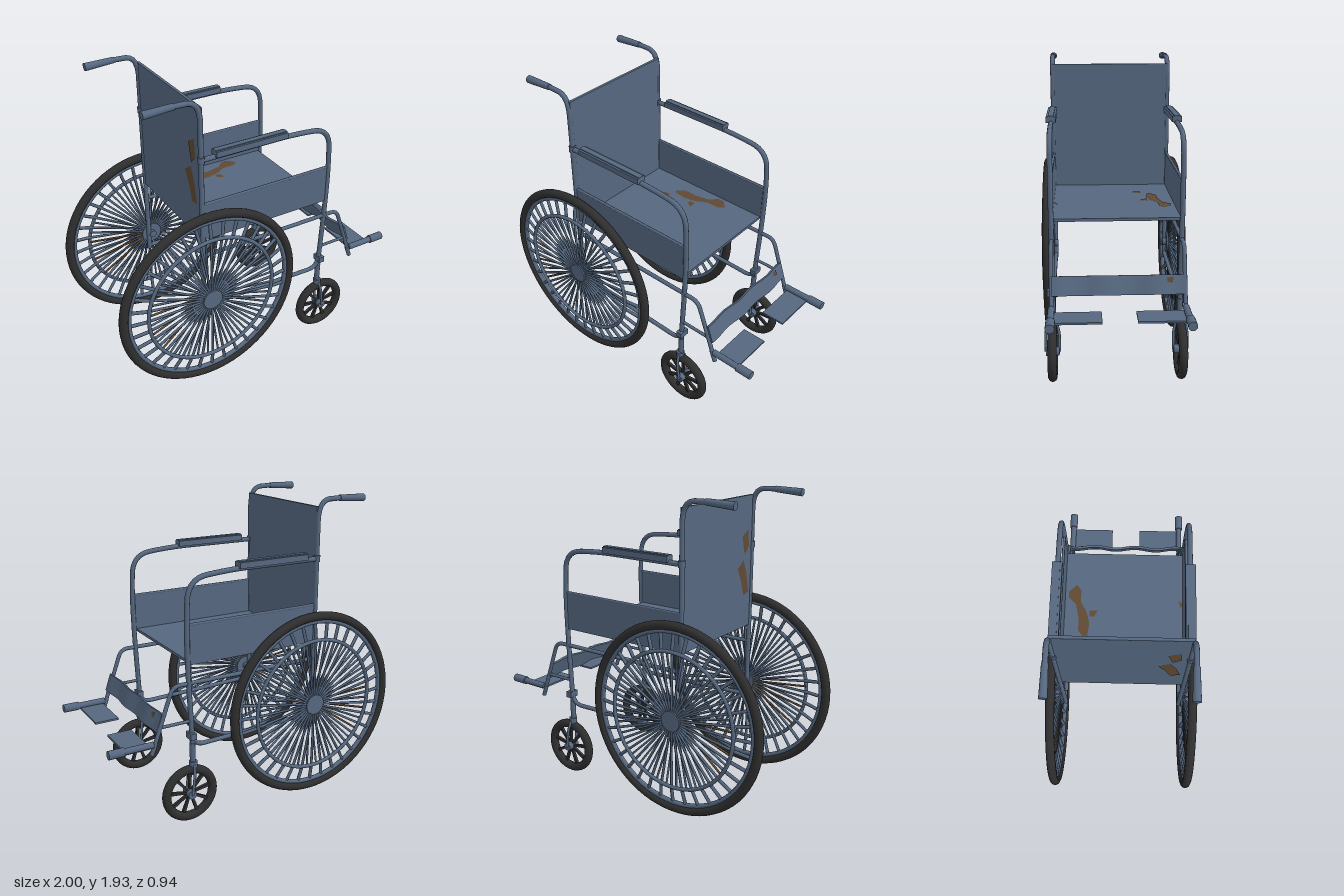
import * as THREE from 'three';
import { mergeGeometries } from 'three/addons/utils/BufferGeometryUtils.js';

const material = (name, color, side = THREE.FrontSide) => {
  const m = new THREE.MeshStandardMaterial({ color, side });
  m.name = name;
  return m;
};

export function createModel() {
  const blue = material('paintedSteelBlue', 0x55677f);
  const rubber = material('darkRubber', 0x2e2e2e);
  const rust = material('rustBrown', 0x5f4a33, THREE.DoubleSide);
  const model = new THREE.Group();
  model.name = 'wheelchair';

  const V = (x, y, z = 0) => new THREE.Vector3(x, y, z);
  const add = (parent, name, geo, mat, x = 0, y = 0, z = 0) => {
    const m = new THREE.Mesh(geo, mat);
    m.name = name;
    m.position.set(x, y, z);
    parent.add(m);
    return m;
  };
  // Capped straight bar between two points
  const rod = (a, b, r0, r1 = r0, sides = 10) => {
    const d = b.clone().sub(a);
    const g = new THREE.CylinderGeometry(r1, r0, d.length(), sides);
    g.applyQuaternion(new THREE.Quaternion().setFromUnitVectors(V(0, 1), d.normalize()));
    return g.translate((a.x + b.x) / 2, (a.y + b.y) / 2, (a.z + b.z) / 2);
  };
  // Bent tube: straight runs with rounded corners at the inner points
  const pipe = (pts, r, bend = 0.08) => {
    const path = new THREE.CurvePath();
    let from = pts[0];
    for (let i = 1; i < pts.length - 1; i++) {
      const toward = (q) => {
        const d = q.clone().sub(pts[i]);
        return pts[i].clone().addScaledVector(d.clone().normalize(), Math.min(bend, d.length() * 0.45));
      };
      const a = toward(pts[i - 1]), b = toward(pts[i + 1]);
      path.add(new THREE.LineCurve3(from, a));
      path.add(new THREE.QuadraticBezierCurve3(a, pts[i], b));
      from = b;
    }
    path.add(new THREE.LineCurve3(from, pts[pts.length - 1]));
    return new THREE.TubeGeometry(path, 64, r, 10);
  };
  const patch = (pts) => new THREE.ShapeGeometry(new THREE.Shape(pts.map(p => new THREE.Vector2(...p))));
  const polar = (r, a, z) => V(r * Math.cos(a), r * Math.sin(a), z);

  // Large drive wheel, built around its axle; s is the outward direction
  const driveWheel = (s) => {
    const w = new THREE.Group();
    w.name = 'driveWheel';
    add(w, 'tire', new THREE.TorusGeometry(0.582, 0.028, 14, 72), rubber);
    add(w, 'rim', new THREE.TorusGeometry(0.548, 0.015, 10, 72), blue);
    const handZ = s * 0.026;
    add(w, 'handRim', new THREE.TorusGeometry(0.432, 0.012, 10, 72), blue, 0, 0, handZ);
    add(w, 'hub', rod(V(0, 0, -s * 0.035), V(0, 0, s * 0.034), 0.07, 0.066, 24), blue);
    add(w, 'axle', rod(V(0, 0, -s * 0.06), V(0, 0, 0), 0.025), blue);
    const clean = [], rusty = [];
    for (let i = 0; i < 36; i++) {
      const a = i * Math.PI / 18, b = a + Math.PI / 36;
      clean.push(rod(polar(0.05, a, s * 0.02), polar(0.44, a, s * 0.016), 0.007, 0.009, 6));
      clean.push(rod(polar(0.43, a, s * 0.018), polar(0.545, a, 0), 0.011, 0.011, 6));
      const list = i > 15 && i < 23 && i % 2 ? rusty : clean;
      list.push(rod(polar(0.05, b, -s * 0.02), polar(0.435, b, s * 0.018), 0.007, 0.007, 6));
    }
    add(w, 'spokes', mergeGeometries(clean), blue);
    add(w, 'rustySpokes', mergeGeometries(rusty), rust);
    return w;
  };

  // Small front caster with its fork
  const caster = () => {
    const c = new THREE.Group();
    c.name = 'caster';
    const tire = new THREE.TorusGeometry(0.157, 0.028, 14, 48);
    add(c, 'casterTire', tire, rubber);
    const spokes = [];
    for (let i = 0; i < 9; i++) {
      const g = new THREE.BoxGeometry(0.12, 0.022, 0.018).translate(0.085, 0, 0);
      const p = g.attributes.position;
      for (let k = 0; k < p.count; k++) if (p.getX(k) < 0.08) p.setY(k, p.getY(k) * 0.6);
      spokes.push(g.rotateZ(i * Math.PI * 2 / 9 + Math.PI / 2));
    }
    add(c, 'casterSpokes', mergeGeometries(spokes), rubber);
    add(c, 'casterHub', rod(V(0, 0, -0.042), V(0, 0, 0.042), 0.028, 0.028, 16), blue);
    add(c, 'fork', pipe([V(0, 0, 0.042), V(-0.015, 0.12, 0.042), V(-0.025, 0.195, 0.02),
      V(-0.025, 0.195, -0.02), V(-0.015, 0.12, -0.042), V(0, 0, -0.042)], 0.009, 0.03), blue);
    add(c, 'forkCrown', rod(V(-0.026, 0.17, 0), V(-0.026, 0.21, 0), 0.026), blue);
    return c;
  };

  // Side frames with everything that repeats left and right
  for (const s of [1, -1]) {
    const f = new THREE.Group();
    f.name = s > 0 ? 'rightSideFrame' : 'leftSideFrame';
    f.position.z = s * 0.39 - 0.01;
    model.add(f);

    add(f, 'backPostAndHandle', pipe([V(-0.415, 0.5), V(-0.415, 1.91), V(-0.6, 1.915), V(-0.7, 1.907)], 0.016, 0.13), blue);
    add(f, 'handGrip', rod(V(-0.755, 1.905), V(-0.57, 1.914), 0.024, 0.019, 14), blue);
    add(f, 'armrestAndFrontPost', pipe([V(-0.41, 1.553), V(0.2, 1.555), V(0.475, 1.53), V(0.49, 1.25),
      V(0.483, 0.95), V(0.46, 0.5), V(0.46, 0.36)], 0.016, 0.13), blue);
    add(f, 'armPad', new THREE.BoxGeometry(0.48, 0.036, 0.06), blue, -0.09, 1.575);
    add(f, 'armPadRidge', new THREE.BoxGeometry(0.48, 0.008, 0.035), blue, -0.09, 1.595);
    add(f, 'seatRailAndLegTube', pipe([V(-0.41, 0.905), V(0.585, 0.905), V(0.72, 0.53)], 0.013, 0.05), blue);
    add(f, 'legTubeEnd', rod(V(0.702, 0.575), V(0.73, 0.5), 0.014), blue);
    add(f, 'legBrace', rod(V(0.47, 0.665), V(0.675, 0.665), 0.01), blue);
    add(f, 'lowerRail', pipe([V(-0.41, 0.525), V(-0.1, 0.515), V(0.44, 0.5), V(0.47, 0.6)], 0.014, 0.06), blue);
    add(f, 'postSleeve', rod(V(0.46, 0.31), V(0.463, 0.52), 0.018), blue);
    add(f, 'postClamp', new THREE.BoxGeometry(0.04, 0.04, 0.065), blue, 0.468, 0.57);
    add(f, 'backClamp', rod(V(-0.415, 1.535), V(-0.415, 1.575), 0.022), blue);
    add(f, 'footBar', rod(V(0.72, 0.567), V(0.91, 0.567), 0.02, 0.02, 14), blue);
    add(f, 'footBarEnd', rod(V(0.9, 0.567), V(1, 0.567), 0.027, 0.027, 14), blue);
    add(f, 'footPlate', new THREE.BoxGeometry(0.155, 0.012, 0.29), blue, 0.813, 0.548, -s * 0.145);
    add(f, 'sidePanel', new THREE.BoxGeometry(0.885, 0.245, 0.014), blue, 0.03, 1.142, 0);
    add(f, 'sidePanelHem', rod(V(-0.41, 1.262), V(0.475, 1.262), 0.009, 0.009, 8), blue);

    const c = caster();
    c.position.set(0.487, 0.192, s * 0.005);
    f.add(c);
    const w = driveWheel(s);
    w.position.set(-0.39, 0.615, s > 0 ? 0.422 : -0.442);
    model.add(w);
  }

  // Seat and back upholstery
  add(model, 'seat', new THREE.BoxGeometry(0.875, 0.018, 0.775), blue, 0.03, 1.025, -0.01);
  add(model, 'backrest', new THREE.BoxGeometry(0.018, 0.85, 0.78), blue, -0.412, 1.447, -0.01);

  // Rippled calf strap, leaning with the leg tubes
  const strap = new THREE.BoxGeometry(0.016, 0.115, 0.78, 1, 1, 32);
  const sp = strap.attributes.position;
  const ripple = (z) => 0.008 * Math.sin(z * 22);
  for (let i = 0; i < sp.count; i++) sp.setX(i, sp.getX(i) + ripple(sp.getZ(i)));
  strap.computeVertexNormals();
  const calf = add(model, 'calfStrap', strap, blue, 0.675, 0.69, -0.01);
  calf.rotation.z = 0.33;
  const spot = add(calf, 'strapRust', patch([[0.28, 0.04], [0.32, 0.045], [0.315, 0.01], [0.285, 0.015]]), rust, ripple(-0.3) + 0.012);
  spot.rotation.y = Math.PI / 2;

  // Rust on the seat, outlined in x and z
  const seatRust = [
    [[-0.13, -0.26], [-0.08, -0.3], [0, -0.3], [0.1, -0.32], [0.15, -0.37], [0.19, -0.37], [0.24, -0.32],
      [0.2, -0.29], [0.12, -0.29], [0.05, -0.25], [-0.03, -0.23], [-0.12, -0.24]],
    [[-0.18, -0.2], [-0.13, -0.2], [-0.15, -0.15], [-0.185, -0.15]],
    [[0.02, -0.23], [0.06, -0.23], [0.06, -0.18], [0.02, -0.2]],
    [[0.09, 0.36], [0.14, 0.345], [0.12, 0.38]],
  ];
  for (const p of seatRust) add(model, 'seatRust', patch(p), rust, 0, 1.037).rotation.x = Math.PI / 2;

  // Rust on the rear of the backrest, outlined in z and y
  const backRust = [
    [[0.25, 1.62], [0.32, 1.66], [0.33, 1.55], [0.28, 1.5]],
    [[0.2, 1.42], [0.27, 1.47], [0.31, 1.38], [0.34, 1.25], [0.28, 1.24], [0.24, 1.35]],
  ];
  for (const p of backRust) add(model, 'backRust', patch(p), rust, -0.424).rotation.y = -Math.PI / 2;

  return model;
}
